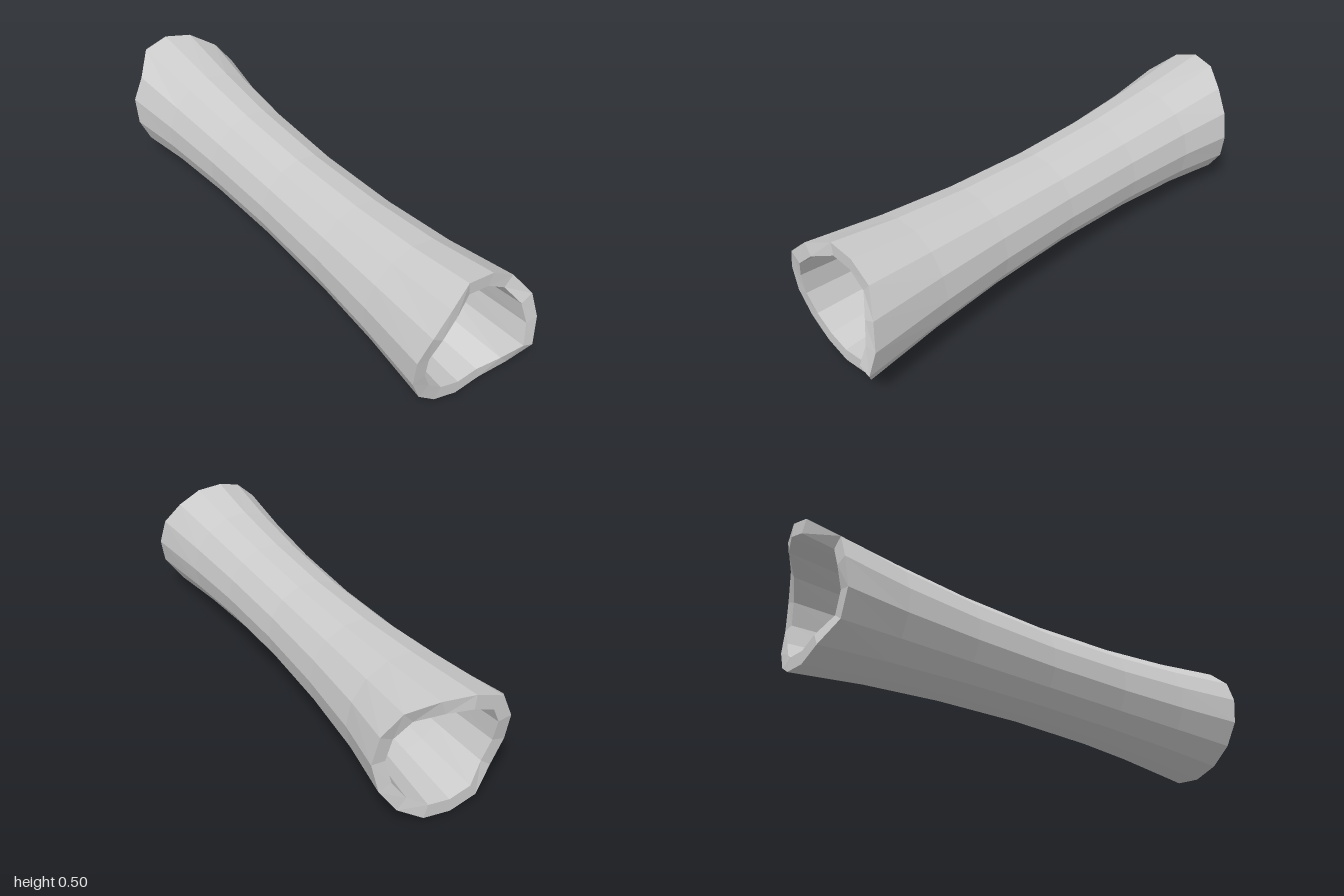
import * as THREE from 'three';

const SIDES = 15;
// ragged rim: z of each end at every corner, counter-clockwise from +x
const FRONT = [0.98, 0.96, 0.92, 0.915, 0.915, 0.95, 0.96, 0.945, 0.935, 0.925, 0.92, 0.92, 0.92, 0.955, 1.0];
const BACK = [-0.87, -0.88, -0.91, -0.97, -1.0, -1.0, -0.91, -0.91, -0.89, -0.885, -0.92, -0.92, -0.92, -0.9, -0.885];
const RINGS = [-0.65, -0.35, 0, 0.35, 0.65];

// waisted radius and slight sag of the middle; t is 0 at the waist, 1 at the rim
function corner(i, z, t, waist, rim) {
  const a = (i / SIDES) * Math.PI * 2;
  const r = waist + (rim - waist) * t * t;
  const sag = 1 - t * t;
  return [Math.cos(a) * r - 0.007 * sag, 0.25 + Math.sin(a) * r - 0.011 * sag, z];
}

// one wall as rings of corners from back to front
function wall(waist, rim) {
  const ring = (fn) => Array.from({ length: SIDES }, (_, i) => fn(i));
  return [
    ring((i) => corner(i, BACK[i], 1, waist, rim)),
    ...RINGS.map((z) => ring((i) => corner(i, z, Math.abs(z) / 0.94, waist, rim))),
    ring((i) => corner(i, FRONT[i], 1, waist, rim)),
  ];
}

export function createModel() {
  // outer wall forwards, inner wall backwards, closed by both rims
  const loops = [...wall(0.187, 0.25), ...wall(0.157, 0.2).reverse()];
  const index = [];
  for (let k = 0; k < loops.length; k++) {
    const next = (k + 1) % loops.length;
    for (let i = 0; i < SIDES; i++) {
      const j = (i + 1) % SIDES;
      const a = k * SIDES + i, b = k * SIDES + j;
      const c = next * SIDES + j, d = next * SIDES + i;
      index.push(a, b, c, a, c, d);
    }
  }
  const geometry = new THREE.BufferGeometry();
  geometry.setAttribute('position', new THREE.Float32BufferAttribute(loops.flat(2), 3));
  geometry.setIndex(index);
  geometry.computeVertexNormals();

  const material = new THREE.MeshStandardMaterial({ color: 0xcccccc, flatShading: true });
  const tube = new THREE.Mesh(geometry, material);
  tube.name = 'hollowLog';

  const group = new THREE.Group();
  group.name = 'log';
  group.add(tube);
  return group;
}
